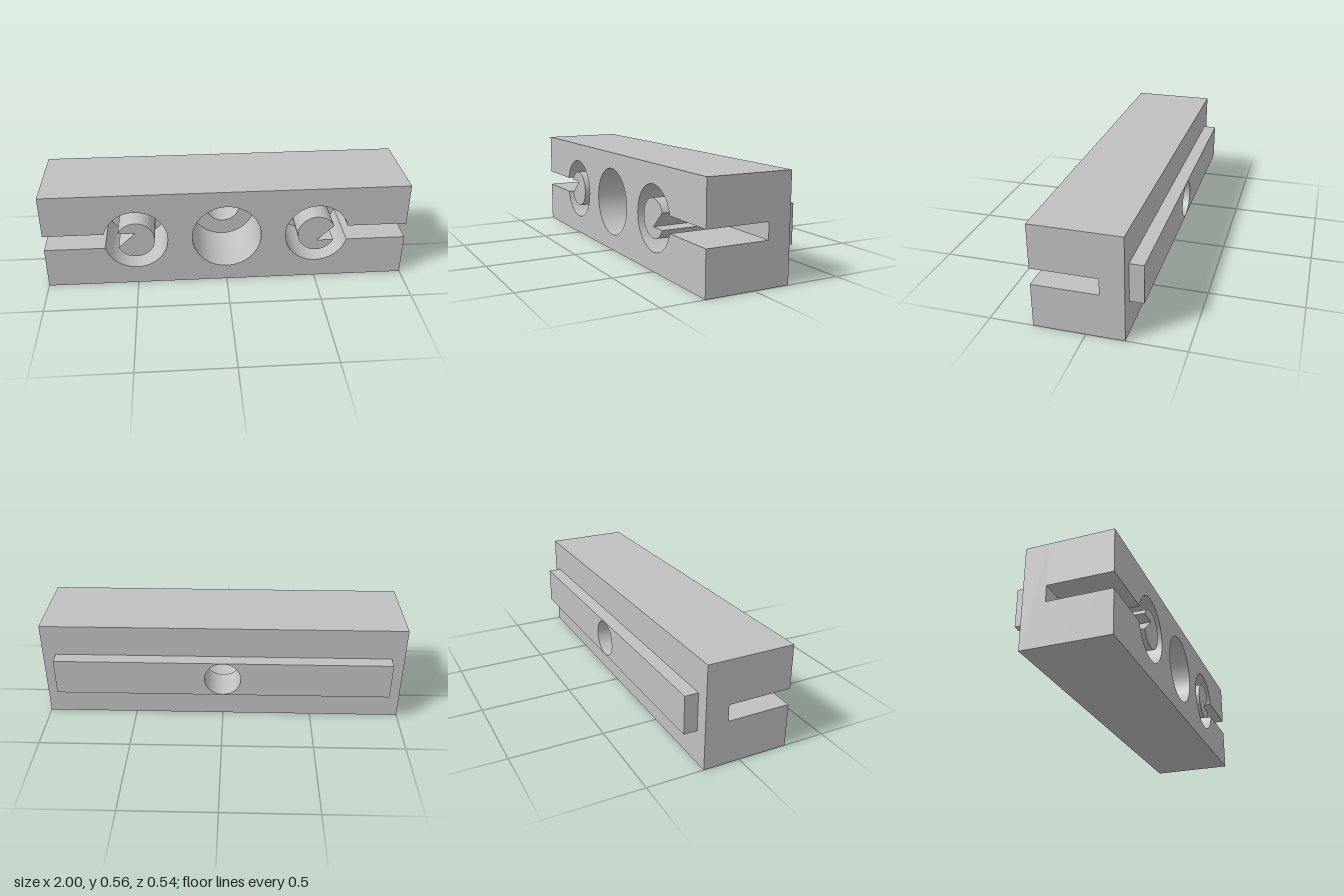
import * as THREE from 'three';
import { toCreasedNormals } from 'three/addons/utils/BufferGeometryUtils.js';

const HEIGHT = 0.56, MID = HEIGHT / 2;
const FRONT = 0.27, FLOOR = -0.073, BACK = -0.197, RAIL_BACK = -0.27;
const SLOT = 0.044, RING = 0.175, BOSS = 0.105, BOSS_X = 0.5;

export function createModel() {
  const group = new THREE.Group();
  const grey = new THREE.MeshStandardMaterial({ color: 0xc0c0c0 });
  grey.name = 'grey';

  // Extrudes a front-facing outline between two depths
  const slab = (name, shape, z0, z1) => {
    const geometry = new THREE.ExtrudeGeometry(shape, { depth: z1 - z0, bevelEnabled: false, curveSegments: 48 });
    geometry.translate(0, 0, z0);
    const mesh = new THREE.Mesh(toCreasedNormals(geometry, 0.5), grey);
    mesh.name = name;
    group.add(mesh);
  };
  const rectangle = (halfWidth, y0, y1) => new THREE.Shape([
    new THREE.Vector2(-halfWidth, y0), new THREE.Vector2(halfWidth, y0),
    new THREE.Vector2(halfWidth, y1), new THREE.Vector2(-halfWidth, y1),
  ]);
  const drill = (shape, radius) => {
    shape.holes.push(new THREE.Path().absarc(0, MID, radius, 0, Math.PI * 2, true));
    return shape;
  };

  // Front body: end slots opening into round pockets, plus the wide centre bore
  const a = Math.asin(SLOT / RING);
  const body = new THREE.Shape();
  body.moveTo(-1, 0);
  body.lineTo(1, 0);
  body.lineTo(1, MID - SLOT);
  body.absarc(BOSS_X, MID, RING, -a, a, true);
  body.lineTo(1, MID + SLOT);
  body.lineTo(1, HEIGHT);
  body.lineTo(-1, HEIGHT);
  body.lineTo(-1, MID + SLOT);
  body.absarc(-BOSS_X, MID, RING, Math.PI - a, Math.PI + a, true);
  body.lineTo(-1, MID - SLOT);
  body.closePath();
  slab('frontBody', drill(body, 0.19), FLOOR, FRONT);

  // Slotted round bosses standing in the pockets
  const b = Math.asin(SLOT / BOSS);
  for (const [name, side] of [['leftBoss', 1], ['rightBoss', -1]]) {
    const turn = side > 0 ? 0 : Math.PI;
    const boss = new THREE.Shape();
    boss.moveTo(side * BOSS_X, MID + side * SLOT);
    boss.absarc(side * BOSS_X, MID, BOSS, turn + b, turn + Math.PI * 2 - b, false);
    boss.lineTo(side * BOSS_X, MID - side * SLOT);
    boss.closePath();
    slab(name, boss, FLOOR, FRONT);
  }

  // Back body and rear rail, pierced by the narrow bore
  slab('backBody', drill(rectangle(1, 0, HEIGHT), 0.1), BACK, FLOOR);
  slab('rearRail', drill(rectangle(0.928, 0.177, 0.383), 0.1), RAIL_BACK, BACK);

  return group;
}
